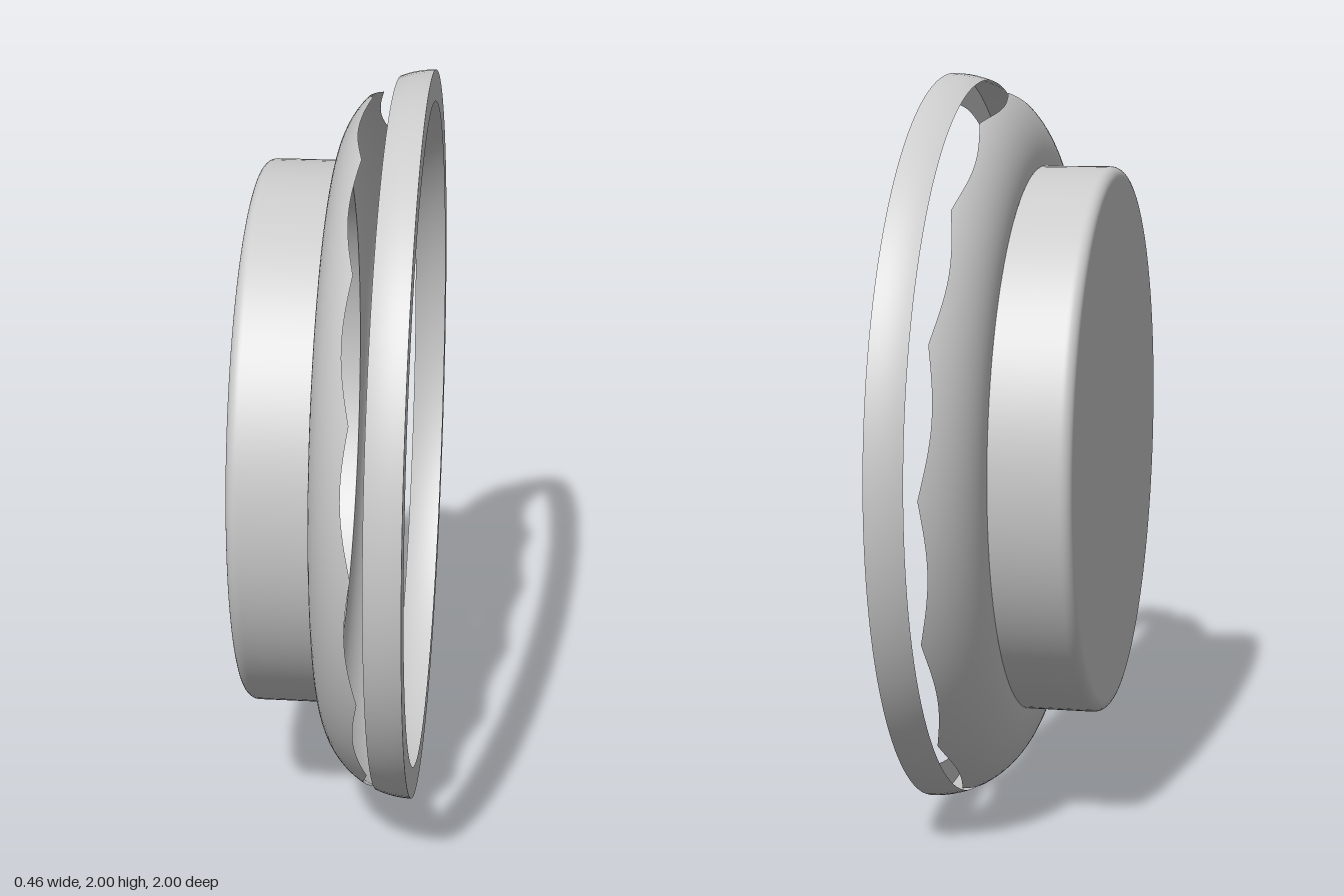
import * as THREE from 'three';
import { ParametricGeometry } from 'three/addons/geometries/ParametricGeometry.js';

const CUP_R = 0.75;   // cup radius
const BACK = -0.23;   // cup floor position along x
const FRONT = 0.23;   // rim face position along x
const CURVE = 0.25;   // radius of the quarter-round flange section
const SEGMENTS = 128;

const material = new THREE.MeshStandardMaterial({ color: 0xcccccc, side: THREE.DoubleSide });

// Profile point [radius, x] on the quarter-round section at position x
function flangeRadius(x) {
  const d = FRONT - x;
  return CUP_R + Math.sqrt(Math.max(0, CURVE * CURVE - d * d));
}

// Revolve [radius, x] points about the x axis
function revolve(name, points) {
  const geometry = new THREE.LatheGeometry(points.map(([r, x]) => new THREE.Vector2(r, x)), SEGMENTS);
  geometry.rotateZ(-Math.PI / 2);
  const mesh = new THREE.Mesh(geometry, material);
  mesh.name = name;
  return mesh;
}

// Round cup with a softened back edge, open to the front
function makeCup() {
  const fillet = 0.03;
  const points = [[0, BACK], [CUP_R - fillet - 0.005, BACK]];
  for (let i = 0; i <= 8; i++) {
    const a = (i / 8) * Math.PI / 2;
    points.push([CUP_R - fillet + fillet * Math.sin(a), BACK + fillet - fillet * Math.cos(a)]);
  }
  points.push([CUP_R, BACK + fillet + 0.005], [CUP_R, FRONT - CURVE]);
  return revolve('cup', points);
}

// Flared flange that ends in a slanted, scalloped edge with 16 points
function makeFlange() {
  const geometry = new ParametricGeometry((u, v, target) => {
    const angle = u * Math.PI * 2;
    const edge = 0.104 - 0.028 * Math.sin(angle) - 0.022 * Math.abs(Math.sin(8 * angle));
    const sweep = v * Math.acos((FRONT - edge) / CURVE);
    const r = CUP_R + CURVE * Math.sin(sweep);
    target.set(FRONT - CURVE * Math.cos(sweep), r * Math.sin(angle), r * Math.cos(angle));
  }, 256, 16);
  const mesh = new THREE.Mesh(geometry, material);
  mesh.name = 'scallopedFlange';
  return mesh;
}

// Separate rim: thin outer band plus a flat front lip
function makeRim() {
  const rim = new THREE.Group();
  rim.name = 'rim';
  const start = 0.135;
  const band = [];
  for (let i = 0; i <= 8; i++) {
    const x = start + (FRONT - start) * i / 8;
    band.push([flangeRadius(x), x]);
  }
  rim.add(revolve('rimBand', band));
  rim.add(revolve('rimLip', [[CUP_R + CURVE, FRONT], [0.915, FRONT]]));
  return rim;
}

export function createModel() {
  const model = new THREE.Group();
  model.name = 'flangedCup';
  const body = new THREE.Group();
  body.name = 'body';
  body.add(makeCup(), makeFlange(), makeRim());
  body.position.y = 1;
  model.add(body);
  return model;
}
